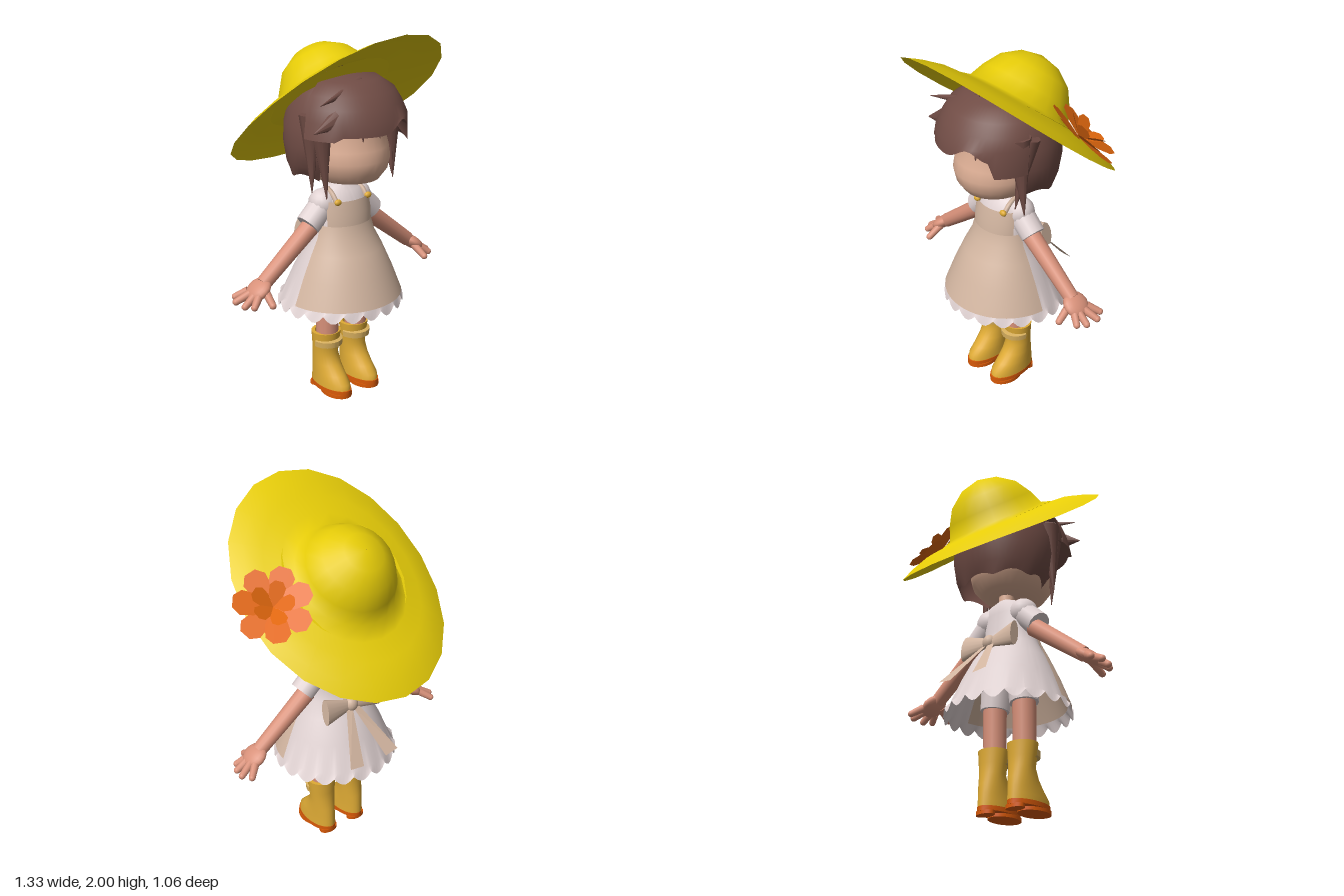
import * as THREE from 'three';
import { toCreasedNormals } from 'three/addons/utils/BufferGeometryUtils.js';

const mat = (name, color) => {
  const m = new THREE.MeshStandardMaterial({ color, side: THREE.DoubleSide });
  m.name = name;
  return m;
};
const V = (x, y, z) => new THREE.Vector3(x, y, z);

// Elliptical rings [y, centre z, radius x, radius z], bottom to top, between angles t0..t1 (0 = front)
function loft(rings, { seg = 28, t0 = 0, t1 = Math.PI * 2, warp, crease = 0.9 } = {}) {
  const closed = t1 - t0 > 6.28, cols = closed ? seg : seg + 1, pos = [], idx = [];
  rings.forEach(([y, cz, rx, rz], k) => {
    for (let i = 0; i < cols; i++) {
      const t = t0 + (t1 - t0) * i / seg, p = V(rx * Math.sin(t), y, cz + rz * Math.cos(t));
      if (warp) warp(p, t, k);
      pos.push(p.x, p.y, p.z);
    }
  });
  for (let k = 0; k < rings.length - 1; k++) for (let i = 0; i < seg; i++) {
    const j = (i + 1) % cols, a = k * cols + i, b = k * cols + j;
    idx.push(a, b, b + cols, a, b + cols, a + cols);
  }
  const g = new THREE.BufferGeometry();
  g.setAttribute('position', new THREE.Float32BufferAttribute(pos, 3));
  g.setIndex(idx);
  return toCreasedNormals(g, crease);
}

export function createModel() {
  const root = new THREE.Group();
  const M = {
    hat: mat('hatYellow', 0xe6cc08), flower: mat('flowerOrange', 0xe2680e), hair: mat('hairBrown', 0x704c45),
    face: mat('faceSkin', 0xdfb096), skin: mat('limbSkin', 0xd8917a), dress: mat('dressWhite', 0xe0d2d2),
    apron: mat('apronTan', 0xd2b5a0), boot: mat('bootYellow', 0xdfab35), sole: mat('soleOrange', 0xd95a08),
    buckle: mat('strapYellow', 0xd8b05f),
  };
  const add = (name, geo, m, parent = root) => {
    const mesh = new THREE.Mesh(geo, m);
    mesh.name = name;
    parent.add(mesh);
    return mesh;
  };
  // Tapered rod from a to b, optionally flattened in z
  const rod = (name, a, b, ra, rb, m, { flat = 1, sides = 14 } = {}) => {
    const d = b.clone().sub(a), mesh = add(name, new THREE.CylinderGeometry(rb, ra, d.length(), sides), m);
    mesh.position.copy(a).add(b).multiplyScalar(0.5);
    mesh.quaternion.setFromUnitVectors(V(0, 1, 0), d.normalize());
    mesh.scale.z = flat;
    return mesh;
  };
  const ball = (name, p, r, m, s = [1, 1, 1]) => {
    const mesh = add(name, new THREE.SphereGeometry(r, 16, 12), m);
    mesh.position.copy(p);
    mesh.scale.set(...s);
    return mesh;
  };

  // Head and neck
  add('head', loft([[1.195, 0.1, 0.001, 0.001], [1.2, 0.11, 0.1, 0.11], [1.22, 0.11, 0.165, 0.18], [1.27, 0.1, 0.21, 0.225],
    [1.33, 0.1, 0.225, 0.238], [1.39, 0.09, 0.222, 0.235], [1.46, 0.08, 0.21, 0.225], [1.55, 0.07, 0.215, 0.235],
    [1.65, 0.06, 0.19, 0.2], [1.72, 0.05, 0.12, 0.14], [1.74, 0.05, 0.001, 0.001]]), M.face);
  rod('neck', V(0, 1.1, 0.05), V(0, 1.24, 0.05), 0.045, 0.04, M.face);
  for (const s of [-1, 1]) {
    const eye = add('eye', new THREE.BoxGeometry(0.008, 0.075, 0.006), M.hair);
    eye.position.set(s * 0.055, 1.45, 0.298);
    eye.rotation.z = -s * 0.08;
  }

  // Hair: back shell, swept fringe and pointed locks
  add('backHair', loft([[1.22, 0.0, 0.24, 0.19], [1.3, 0.02, 0.27, 0.235], [1.4, 0.03, 0.285, 0.268], [1.5, 0.03, 0.28, 0.27],
    [1.58, 0.03, 0.255, 0.26], [1.67, 0.03, 0.22, 0.23], [1.75, 0.03, 0.13, 0.14], [1.79, 0.03, 0.001, 0.001]],
  { t0: 0.9, t1: 5.38, seg: 32, warp: (p, t, k) => { if (!k) p.y += 0.03 * Math.abs(Math.sin(t * 3.5)); } }), M.hair);
  add('fringe', loft([[1.57, 0.1, 0.2, 0.2], [1.495, 0.12, 0.3, 0.305], [1.56, 0.115, 0.305, 0.3], [1.62, 0.105, 0.288, 0.275],
    [1.68, 0.1, 0.255, 0.24], [1.735, 0.08, 0.18, 0.18], [1.77, 0.06, 0.001, 0.001]], {
    t0: -1.45, t1: 1.4, seg: 30,
    warp: (p, t, k) => {
      if (k === 1) {
        p.y += 0.06 * Math.exp(-(((t - 0.38) / 0.24) ** 2));
        if (t > 0.8) p.y -= 0.08;
        if (t < -0.8) { p.x -= 0.02; p.y -= 0.02; }
      }
    },
  }), M.hair);
  const locks = [
    [-0.235, 1.58, 0.18, -0.2, 1.145, 0.19, 0.062, 0.8], [-0.245, 1.58, 0.12, -0.255, 1.18, 0.14, 0.06, 1],
    [0.235, 1.6, 0.18, 0.27, 1.165, 0.17, 0.066, 0.9], [0.245, 1.58, 0.12, 0.235, 1.2, 0.2, 0.06, 1],
    [0.0, 1.71, 0.2, -0.31, 1.66, 0.28, 0.045, 0.6], [-0.1, 1.61, 0.27, -0.345, 1.525, 0.27, 0.09, 0.7],
  ];
  for (const [a, b, c, d, e, f, r, flat] of locks)
    rod('hairLock', V(a, b, c), V(d, e, f), r, 0.002, M.hair, { flat, sides: 10 });

  // Tilted sun hat
  const hat = new THREE.Group();
  hat.name = 'sunHat';
  hat.position.y = 1.585;
  hat.rotation.x = -0.664;
  root.add(hat);
  add('hatShell', loft([[0, 0, 0.553, 0.673], [0.026, 0, 0.495, 0.59], [0.05, 0, 0.41, 0.48], [0.056, 0, 0.33, 0.37],
    [0.075, 0, 0.272, 0.287], [0.15, 0, 0.245, 0.249], [0.235, 0, 0.194, 0.192], [0.297, 0, 0.105, 0.105], [0.32, 0, 0.001, 0.001]],
  { seg: 20, crease: 1.4, warp: p => { p.y -= 0.04 * (p.x / 0.55) ** 2; } }), M.hat, hat);
  add('hatInnerBand', loft([[0.05, 0, 0.33, 0.36], [0.045, 0, 0.16, 0.17]], { seg: 20 }), M.hat, hat);

  // Two-layer flower on the brim
  const flower = new THREE.Group();
  flower.name = 'hatFlower';
  flower.position.set(0.435, 1.6, -0.035);
  flower.quaternion.setFromUnitVectors(V(0, 1, 0), V(0.36, 0.72, -0.59).normalize());
  root.add(flower);
  for (const [n, size, tilt, off] of [[7, 0.2, 0.14, 0], [5, 0.13, 0.55, 0.4]]) for (let i = 0; i < n; i++) {
    const outline = [[0, 0], [0.27, 0.45], [0.31, 0.8], [0.15, 1], [-0.15, 1], [-0.31, 0.8], [-0.27, 0.45]]
      .map(([x, y]) => new THREE.Vector2(x * size, y * size));
    const petal = new THREE.ShapeGeometry(new THREE.Shape(outline));
    petal.rotateX(Math.PI / 2 - tilt - (i % 2) * 0.12).rotateY(off + i * Math.PI * 2 / n);
    add('petal', petal, M.flower, flower);
  }

  // Dress with scalloped hem
  const rings = [[0.5, 0.06, 0.345, 0.33], [0.56, 0.065, 0.32, 0.31], [0.7, 0.07, 0.265, 0.25], [0.82, 0.075, 0.21, 0.19],
    [0.9, 0.08, 0.17, 0.133], [0.97, 0.08, 0.15, 0.115], [1.08, 0.075, 0.148, 0.102], [1.14, 0.06, 0.12, 0.075], [1.17, 0.055, 0.045, 0.045]];
  add('dress', loft(rings, { seg: 100, warp: (p, t, k) => { if (!k) p.y += 0.04 * (1 - Math.abs(Math.sin(t * 10))); } }), M.dress);
  // Apron skirt and bib sit just outside the dress, a front lining just inside
  const offset = (list, d) => list.map(([y, c, a, b]) => [y, c, a + d, b + d]);
  add('apronSkirt', loft(offset(rings.slice(1, 6), 0.012), { t0: -1.5, t1: 1.5 }), M.apron);
  add('apronLining', loft(offset(rings.slice(1, 5), -0.01), { t0: -1.5, t1: 1.5 }), M.apron);
  add('apronBib', loft(offset([rings[5], [1.03, 0.078, 0.15, 0.11], [1.1, 0.074, 0.142, 0.098]], 0.012), { t0: -1.15, t1: 1.15 }), M.apron);

  // Bow at the back with two tails
  ball('bowKnot', V(0, 0.885, -0.09), 0.038, M.apron, [1, 1.1, 0.9]);
  const ribbon = (a, b, c, d) => {
    const g = new THREE.BufferGeometry().setFromPoints([a, b, c, a, c, d]);
    g.computeVertexNormals();
    return g;
  };

  for (const s of [-1, 1]) {
    const P = (x, y, z) => V(s * x, y, z);
    rod('bowLoop', P(0.01, 0.885, -0.09), P(0.17, 0.895, -0.09), 0.028, 0.075, M.apron, { flat: 0.42 }).rotation.x += 0.2;
    add('bowTail', ribbon(P(0.0, 0.875, -0.1), P(0.04, 0.87, -0.1), P(0.16, 0.64, -0.295), P(0.075, 0.63, -0.3)), M.apron);

    // Shoulder strap and button
    const strap = new THREE.CatmullRomCurve3([P(0.1, 1.08, 0.16), P(0.1, 1.13, 0.118), P(0.09, 1.152, 0.06)]);
    add('strap', new THREE.TubeGeometry(strap, 10, 0.014, 6), M.apron);
    ball('button', P(0.102, 1.1, 0.162), 0.021, M.boot, [1, 0.8, 0.7]);

    // Sleeve, arm and hand
    rod('sleeve', P(0.09, 1.09, 0.055), P(0.217, 0.975, 0.055), 0.07, 0.067, M.dress);
    ball('shoulder', P(0.115, 1.075, 0.055), 0.078, M.dress);
    rod('arm', P(0.19, 0.965, 0.05), P(0.505, 0.722, 0.05), 0.05, 0.04, M.skin);
    const palm = ball('palm', P(0.535, 0.7, 0.05), 0.058, M.skin, [1.25, 0.6, 1.25]);
    palm.rotation.z = -s * 0.65;
    const fingers = [[0.565, 0.685, 0.0, 0.615, 0.65, -0.045], [0.575, 0.68, 0.03, 0.645, 0.645, 0.005],
      [0.575, 0.675, 0.065, 0.635, 0.637, 0.07], [0.565, 0.675, 0.09, 0.608, 0.64, 0.115], [0.52, 0.695, 0.09, 0.53, 0.645, 0.165]];
    for (const [a, b, c, d, e, f] of fingers) {
      rod('finger', P(a, b, c), P(d, e, f), 0.022, 0.018, M.skin, { sides: 10 });
      ball('fingertip', P(d, e, f), 0.018, M.skin);
    }

    // Leg with bloomers
    rod('leg', P(0.1, 0.3, 0.07), P(0.1, 0.68, 0.07), 0.06, 0.063, M.skin);
    rod('bloomers', P(0.1, 0.57, 0.07), P(0.085, 0.76, 0.075), 0.077, 0.085, M.dress);

    // Boot with strap and notched sole
    const boot = new THREE.Group();
    boot.name = 'boot';
    boot.position.x = s * 0.098;
    root.add(boot);
    add('bootShell', loft([[0.035, 0.1, 0.074, 0.142], [0.07, 0.098, 0.073, 0.138], [0.11, 0.08, 0.07, 0.116], [0.16, 0.06, 0.069, 0.09],
      [0.215, 0.05, 0.069, 0.07], [0.27, 0.054, 0.075, 0.072], [0.345, 0.057, 0.082, 0.077], [0.345, 0.057, 0.062, 0.06]]), M.boot, boot);
    const slab = (name, y0, y1, cz, rx, rz) => add(name, loft([[y0, cz, 0.001, 0.001], [y0, cz, rx, rz], [y1, cz, rx, rz], [y1, cz, 0.001, 0.001]]), M.sole, boot);
    slab('sole', 0.018, 0.042, 0.102, 0.075, 0.145);
    slab('soleTread', 0, 0.02, 0.143, 0.073, 0.102);
    slab('heel', 0, 0.02, -0.004, 0.055, 0.036);
    add('bootStrap', loft([[0.265, 0.057, 0.07, 0.067], [0.27, 0.06, 0.084, 0.09], [0.302, 0.06, 0.086, 0.092], [0.307, 0.057, 0.07, 0.067]],
      { t0: -1.5, t1: 1.5 }), M.buckle, boot);
  }
  return root;
}
